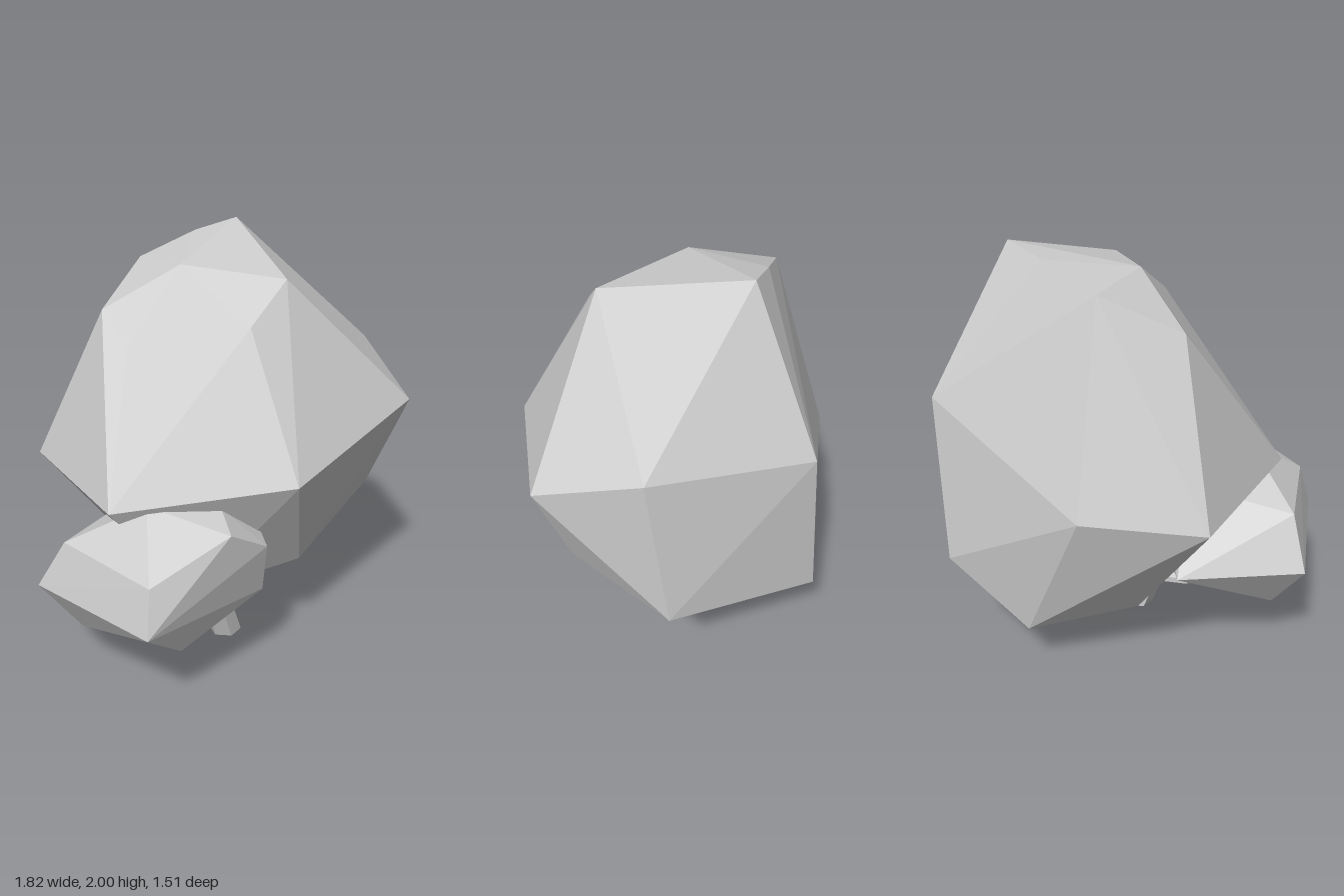
import * as THREE from 'three';
import { ConvexGeometry } from 'three/addons/geometries/ConvexGeometry.js';

const material = new THREE.MeshStandardMaterial({ color: 0xcccccc, flatShading: true, side: THREE.DoubleSide });
const vec = (p) => new THREE.Vector3(...p);

function part(name, geometry) {
  const mesh = new THREE.Mesh(geometry, material);
  mesh.name = name;
  return mesh;
}

// Faceted foliage: convex hull of a few corners
const foliage = (corners) => new ConvexGeometry(corners.map(vec));

function mainCrown() {
  const dent = vec([-0.33, 1.54, -0.21]);
  const raised = dent.clone().add(vec([-0.032, 0.024, 0.004]));
  const geometry = foliage([
    // top
    [0.5, 2, -0.2], [0.11, 1.845, 0.34], [0.33, 1.95, -0.325], [0.08, 1.845, -0.47],
    [-0.06, 1.88, -0.115], [-0.28, 1.675, -0.4], [-0.13, 1.68, 0.315], raised.toArray(),
    // widest ring
    [0.865, 1.405, 0.36], [0.59, 1.23, 0.755], [-0.24, 1.06, 0.65], [-0.73, 0.94, 0],
    [-0.42, 0.92, -0.74], [0.13, 0.945, -0.755], [0.84, 1.33, -0.37],
    // lower ring and underside
    [0.52, 0.78, 0.595], [0.905, 0.655, 0.27], [0.8, 0.55, -0.455], [0.05, 0.52, 0.5],
    [0.375, 0.23, 0.05], [0.41, 0.255, -0.555], [-0.09, 0.345, -0.44], [-0.27, 0.345, 0.115],
  ]);
  // Press one upper corner in to form a shallow valley
  const pos = geometry.attributes.position;
  for (let i = 0; i < pos.count; i++) {
    const p = new THREE.Vector3().fromBufferAttribute(pos, i);
    if (p.distanceTo(raised) < 1e-3) pos.setXYZ(i, dent.x, dent.y, dent.z);
  }
  geometry.computeVertexNormals();
  return geometry;
}

function sideCrown() {
  return foliage([
    // outer side
    [-0.91, 0.54, 0.355], [-0.85, 0.75, 0.32], [-0.857, 0.52, -0.34], [-0.795, 0.76, -0.215],
    // front and top
    [-0.51, 0.9, 0.49], [-0.305, 0.77, 0.54], [-0.255, 0.505, 0.49],
    [-0.595, 0.955, 0.1], [-0.4, 0.94, 0.36],
    // underside
    [-0.66, 0.33, 0.33], [-0.72, 0.27, -0.21], [-0.335, 0.31, 0.04], [-0.275, 0.53, -0.48],
    // inner side, buried in the main crown
    [-0.08, 0.81, 0.29], [-0.07, 0.54, 0.26], [-0.3, 0.85, -0.15],
  ]);
}

// Six-sided trunk with a knee: each ring of a cylinder is moved and scaled
function trunk() {
  const rings = [[-0.025, 0, 0.084], [-0.095, 0.18, 0.08], [-0.103, 0.36, 0.076], [-0.08, 0.6, 0.05]];
  const geometry = new THREE.CylinderGeometry(1, 1, rings.length - 1, 6, rings.length - 1);
  geometry.rotateY(Math.PI / 2);
  const pos = geometry.attributes.position;
  for (let i = 0; i < pos.count; i++) {
    const [x, y, r] = rings[Math.round(pos.getY(i) + (rings.length - 1) / 2)];
    pos.setXYZ(i, x + pos.getX(i) * r, y, 0.12 + pos.getZ(i) * r);
  }
  geometry.computeVertexNormals();
  return geometry;
}

// Straight-segment path, one tube ring per point
class Polyline extends THREE.Curve {
  constructor(points) {
    super();
    this.points = points.map(vec);
  }
  getPoint(t, target = new THREE.Vector3()) {
    const s = t * (this.points.length - 1);
    const i = Math.min(Math.floor(s), this.points.length - 2);
    return target.lerpVectors(this.points[i], this.points[i + 1], s - i);
  }
  getPointAt(t, target) { return this.getPoint(t, target); }
  getTangentAt(t, target) { return this.getTangent(t, target); }
}

function branch() {
  const path = new Polyline([[-0.1, 0.155, 0.12], [-0.295, 0.19, 0.05], [-0.325, 0.27, 0.05], [-0.28, 0.48, 0.05]]);
  return new THREE.TubeGeometry(path, path.points.length - 1, 0.03, 6);
}

export function createModel() {
  const tree = new THREE.Group();
  tree.name = 'tree';
  tree.add(
    part('mainCrown', mainCrown()),
    part('sideCrown', sideCrown()),
    part('trunk', trunk()),
    part('branch', branch()),
  );
  return tree;
}
